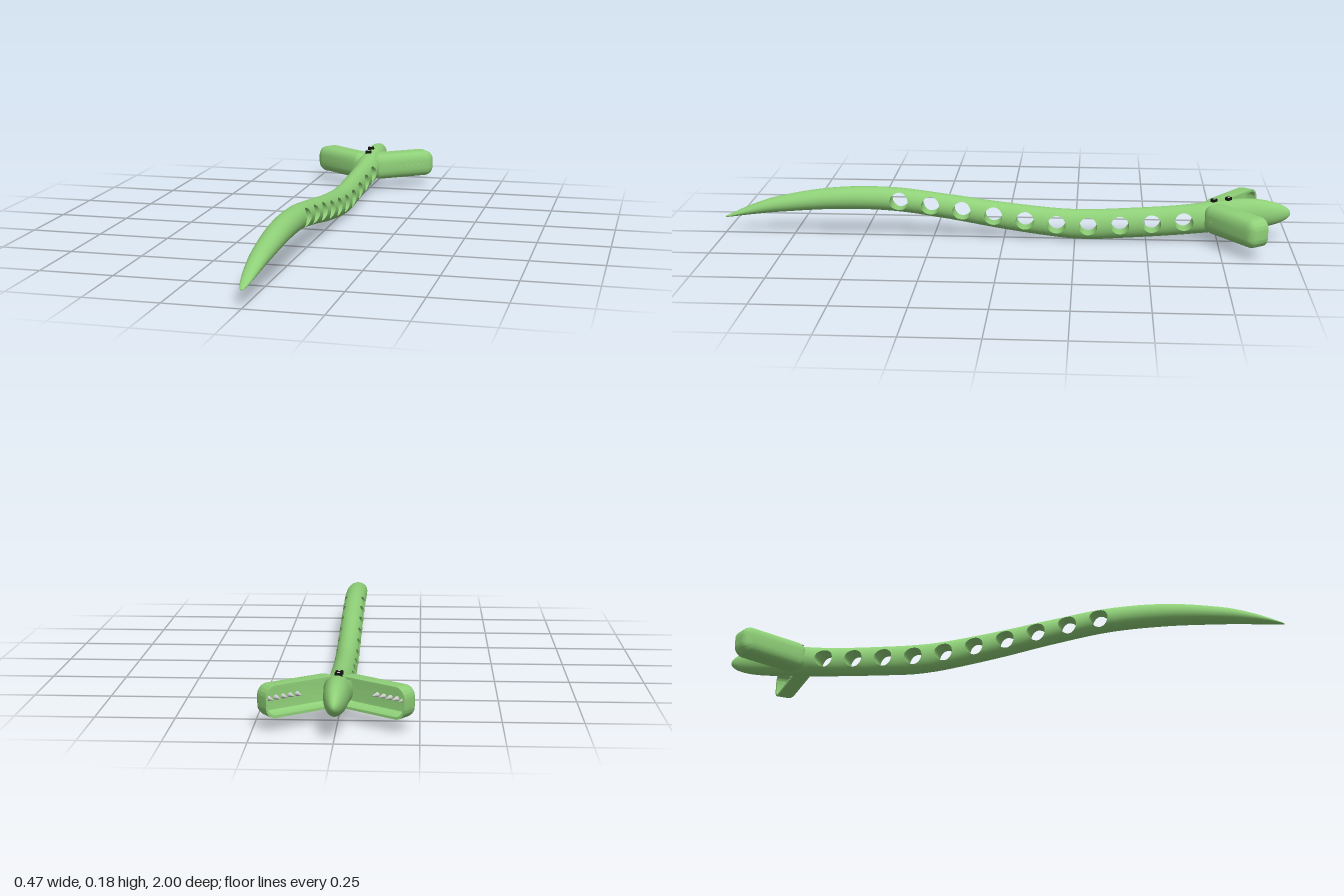
import * as THREE from 'three';
import { mergeGeometries, mergeVertices, toCreasedNormals } from 'three/addons/utils/BufferGeometryUtils.js';
import { ParametricGeometry } from 'three/addons/geometries/ParametricGeometry.js';

const green = new THREE.MeshStandardMaterial({ color: 0x8fd078, side: THREE.DoubleSide });
const black = new THREE.MeshStandardMaterial({ color: 0x111111 });
const grey = new THREE.MeshStandardMaterial({ color: 0xcccccc });

// Body stations: z, centre height, half height
const stations = [
  [-1, 0.11, 0.057], [-0.85, 0.105, 0.057], [-0.75, 0.095, 0.055], [-0.6, 0.077, 0.053],
  [-0.4, 0.062, 0.0535], [-0.3, 0.057, 0.054], [-0.2, 0.06, 0.052], [0, 0.083, 0.048],
  [0.2, 0.113, 0.044], [0.4, 0.137, 0.042], [0.6, 0.136, 0.039], [0.8, 0.112, 0.029],
  [0.9, 0.09, 0.018], [1, 0.06, 0.002],
];

// Smooth interpolation of one station column at z
function sample(z, col) {
  const last = stations.length - 1;
  let i = 0;
  while (i < last - 1 && z > stations[i + 1][0]) i++;
  const slope = (k) => {
    const a = stations[Math.max(k - 1, 0)], b = stations[Math.min(k + 1, last)];
    return (b[col] - a[col]) / (b[0] - a[0]);
  };
  const [p, q] = [stations[i], stations[i + 1]];
  const d = q[0] - p[0], t = (z - p[0]) / d, t2 = t * t, t3 = t2 * t;
  return p[col] * (2 * t3 - 3 * t2 + 1) + slope(i) * d * (t3 - 2 * t2 + t)
    + q[col] * (3 * t2 - 2 * t3) + slope(i + 1) * d * (t3 - t2);
}

const roundEnd = (t) => Math.sqrt(Math.max(0, 1 - Math.max(0, t) ** 2));
const centreY = (z) => sample(z, 1);
const halfHeight = (z) => sample(z, 2) * roundEnd((-0.8 - z) / 0.2);
const halfWidth = (z) => (0.04 + 0.007 * Math.exp(-(((z + 0.7) / 0.06) ** 2)))
  * roundEnd((-0.8 - z) / 0.2) * roundEnd((z - 0.5) / 0.5);

function bodyPoint(z, angle, target, side = 1) {
  target.set(side * halfWidth(z) * Math.cos(angle), centreY(z) + halfHeight(z) * Math.sin(angle), z);
}

function weld(parts) {
  const merged = mergeGeometries(parts);
  merged.deleteAttribute('normal');
  merged.deleteAttribute('uv');
  const geometry = mergeVertices(merged, 1e-5);
  geometry.computeVertexNormals();
  return geometry;
}

// Row of holes through the body
const holeCount = 10, holeRadius = 0.032, zBack = -0.686, zFront = 0.426;
const pitch = (zFront - zBack) / holeCount;

// Point k of 48 around a cell: [z in -1..1, angle in -1..1]
function cellBorder(k) {
  if (k <= 8) return [1, k / 8];
  if (k <= 16) return [1 - (k - 8) / 4, 1];
  if (k <= 32) return [-1, 1 - (k - 16) / 8];
  if (k <= 40) return [-1 + (k - 32) / 4, -1];
  return [1, -1 + (k - 40) / 8];
}

function buildBody() {
  const tube = (zAt, steps) => new ParametricGeometry(
    (u, v, p) => bodyPoint(zAt(v), u * Math.PI * 2, p), 32, steps);
  const skin = [
    tube((v) => -1 + (zBack + 1) * (1 - Math.cos(v * Math.PI / 2)), 24),
    tube((v) => zFront + (1 - zFront) * Math.sin(v * Math.PI / 2), 36),
  ];
  const walls = [];
  for (let i = 0; i < holeCount; i++) {
    const z0 = zBack + (i + 0.5) * pitch, y0 = centreY(z0);
    const rim = (a) => {
      const z = z0 + holeRadius * Math.cos(a);
      const s = (y0 + holeRadius * Math.sin(a) - centreY(z)) / halfHeight(z);
      return [z, Math.asin(THREE.MathUtils.clamp(s, -0.97, 0.97))];
    };
    for (const side of [1, -1]) {
      skin.push(new ParametricGeometry((u, v, p) => {
        const turn = side > 0 ? u : 1 - u;
        const [z, angle] = rim(turn * Math.PI * 2);
        const [bz, ba] = cellBorder(Math.round(turn * 48));
        bodyPoint(THREE.MathUtils.lerp(z, z0 + bz * pitch / 2, v),
          THREE.MathUtils.lerp(angle, ba * Math.PI / 2, v), p, side);
      }, 48, 6));
    }
    walls.push(new ParametricGeometry((u, v, p) => {
      const [z, angle] = rim(u * Math.PI * 2);
      bodyPoint(z, angle, p);
      p.x *= v * 2 - 1;
    }, 48, 1));
  }
  return { skin: weld(skin), walls: weld(walls) };
}

// Arm tray rows: inset of the rounded outline, depth
const trayRows = [
  [0.049, 0], [0.034, -0.001], [0.02, -0.004], [0.009, -0.01], [0.002, -0.019], [0, -0.028],
  [0, -0.072], [0.008, -0.072], [0.009, -0.034], [0.014, -0.028], [0.049, -0.026],
];

function buildTray() {
  const halfLength = 0.1325, halfTall = 0.05, radius = 0.035;
  const geometry = weld([new ParametricGeometry((u, v, p) => {
    const [inset, depth] = trayRows[Math.round(v * (trayRows.length - 1))];
    const k = (40 - Math.round(u * 40)) % 40, corner = Math.floor(k / 10);
    const angle = (corner + (k % 10) / 9) * Math.PI / 2;
    const r = Math.max(radius - inset, 0.0005);
    const sx = corner === 0 || corner === 3 ? 1 : -1, sy = corner < 2 ? 1 : -1;
    p.set(sx * (halfLength - inset - r) + r * Math.cos(angle),
      sy * (halfTall - inset - r) + r * Math.sin(angle), depth);
  }, 40, trayRows.length - 1)]);
  return toCreasedNormals(geometry, 0.8);
}

function buildArm(trayGeometry) {
  const arm = new THREE.Group();
  const tray = new THREE.Mesh(trayGeometry, green);
  tray.name = 'armTray';
  arm.add(tray);
  // Row of small teeth on the tray floor
  for (let i = 0; i < 5; i++) {
    const tooth = new THREE.Mesh(new THREE.ConeGeometry(0.008, 0.026, 12), grey);
    tooth.name = 'tooth';
    tooth.rotation.x = -Math.PI / 2;
    tooth.position.set(-0.005 + i * 0.025, 0, -0.039);
    arm.add(tooth);
  }
  // Arm runs outward and back from the neck
  const along = 0.5725, out = -0.528;
  arm.rotation.y = Math.atan2(0.6, 0.8);
  arm.position.set(0.8 * along + 0.6 * out, 0.095, -0.6 * along + 0.8 * out);
  return arm;
}

export function createModel() {
  const model = new THREE.Group();
  model.name = 'model';

  const { skin, walls } = buildBody();
  const body = new THREE.Mesh(skin, green);
  body.name = 'body';
  const holeWalls = new THREE.Mesh(walls, green);
  holeWalls.name = 'holeWalls';
  model.add(body, holeWalls);

  const trayGeometry = buildTray();
  for (const side of [1, -1]) {
    const half = new THREE.Group();
    half.name = side > 0 ? 'leftArm' : 'rightArm';
    half.scale.x = side;
    half.add(buildArm(trayGeometry));
    model.add(half);
  }

  // Two studs on top of the neck
  for (const z of [-0.785, -0.735]) {
    const stud = new THREE.Group();
    stud.name = 'stud';
    const base = new THREE.Mesh(new THREE.CylinderGeometry(0.012, 0.013, 0.014, 24), black);
    base.name = 'studBase';
    const dot = new THREE.Mesh(new THREE.CylinderGeometry(0.004, 0.004, 0.002, 16), grey);
    dot.name = 'studCentre';
    dot.position.y = 0.0075;
    stud.add(base, dot);
    stud.position.set(-0.004, centreY(z) + halfHeight(z), z);
    model.add(stud);
  }
  return model;
}
